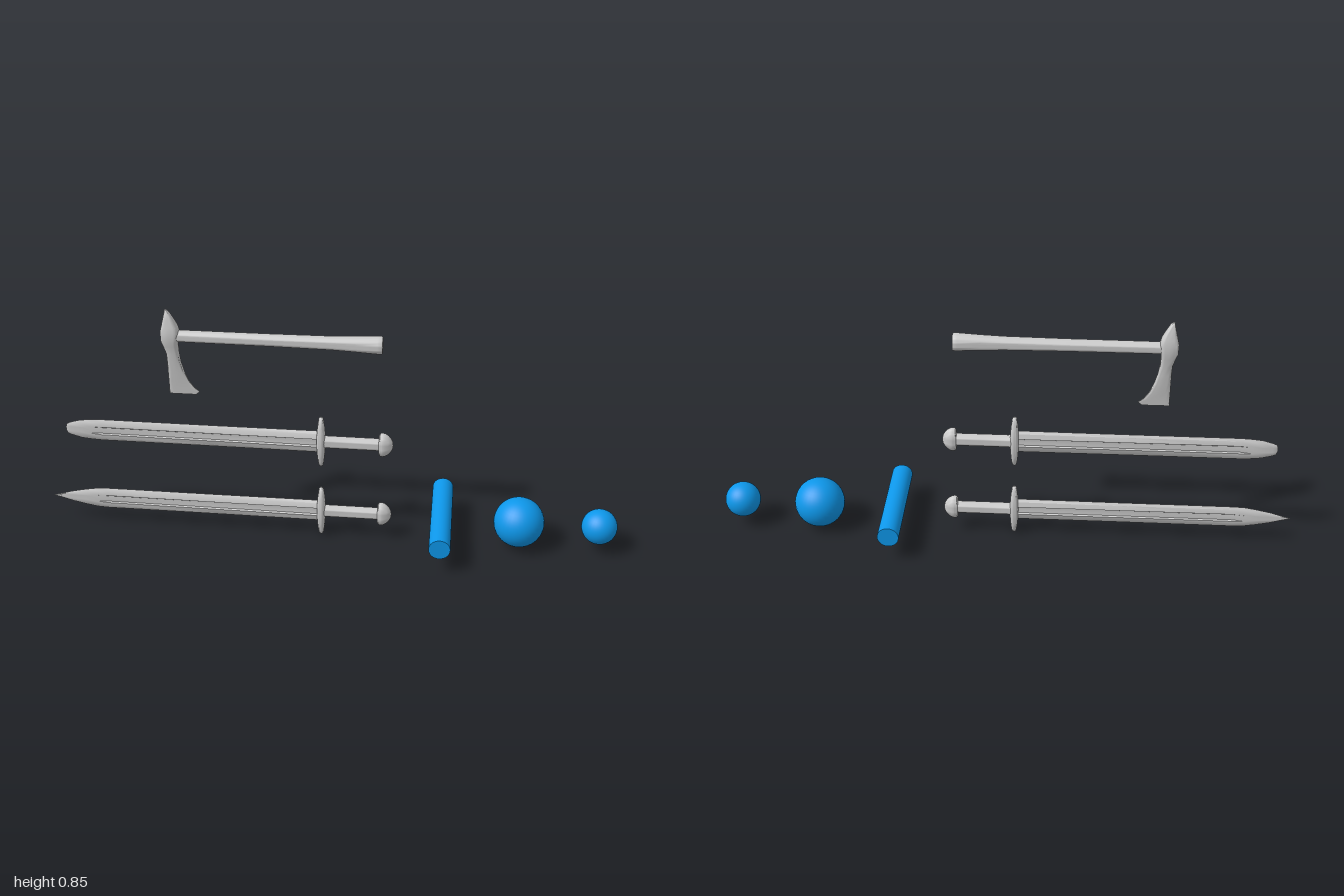
import * as THREE from 'three';
import { toCreasedNormals } from 'three/addons/utils/BufferGeometryUtils.js';

const grey = new THREE.MeshStandardMaterial({ color: 0xcccccc });
const blue = new THREE.MeshStandardMaterial({ color: 0x0d97ea });

function part(name, geometry, material = grey) {
  const mesh = new THREE.Mesh(geometry, material);
  mesh.name = name;
  return mesh;
}

// Skin a list of equal-length rings of [x, y, z] points, with fans closing both ends
function loft(rings, crease = 0.6) {
  const n = rings[0].length;
  const positions = rings.flat(2);
  const index = [];
  for (let i = 0; i < rings.length - 1; i++) {
    for (let j = 0; j < n; j++) {
      const k = (j + 1) % n;
      const a = i * n + j, b = i * n + k, c = a + n, d = b + n;
      index.push(a, b, d, a, d, c);
    }
  }
  [0, rings.length - 1].forEach((i) => {
    const centre = positions.length / 3;
    const sum = rings[i].reduce((s, p) => s.map((v, q) => v + p[q] / n), [0, 0, 0]);
    positions.push(...sum);
    for (let j = 0; j < n; j++) {
      const a = i * n + j, b = i * n + ((j + 1) % n);
      if (i === 0) index.push(centre, b, a);
      else index.push(centre, a, b);
    }
  });
  const g = new THREE.BufferGeometry();
  g.setAttribute('position', new THREE.Float32BufferAttribute(positions, 3));
  g.setIndex(index);
  return toCreasedNormals(g, crease);
}

// Horizontal rounded ring at height y, spanning x0..x1 and +-hz; low power = boxier
function roundedRing(y, x0, x1, hz, power = 0.6, count = 24) {
  const ring = [];
  for (let i = 0; i < count; i++) {
    const a = (i / count) * Math.PI * 2;
    const c = Math.cos(a), s = Math.sin(a);
    const z = hz * Math.sign(c) * Math.abs(c) ** power;
    const x = (x0 + x1) / 2 + ((x1 - x0) / 2) * Math.sign(s) * Math.abs(s) ** power;
    ring.push([x, y, z]);
  }
  return ring;
}

// Turned part lying along x; profile entries are [x, radius]
function turned(profile, zScale = 1) {
  const points = profile.map(([x, r]) => new THREE.Vector2(r, x));
  const g = new THREE.LatheGeometry(points, 32);
  g.rotateZ(-Math.PI / 2);
  g.scale(1, 1, zScale);
  return toCreasedNormals(g, 0.7);
}

// Double-edged blade with a fuller on both faces; stations are [x, half width, half thickness, fuller depth]
function bladeGeometry(stations) {
  return loft(stations.map(([x, w, t, f]) => {
    const half = [[1, 0], [0.78, 0.6], [0.36, 1], [0.27, 1 - f], [0, 1 - f * 1.15],
      [-0.27, 1 - f], [-0.36, 1], [-0.78, 0.6]];
    const front = half.map(([y, z]) => [x, y * w, z * t]);
    const back = half.map(([y, z]) => [x, -y * w, -z * t]);
    return [...front, ...back];
  }), 0.4);
}

function makeSword(name, tip) {
  const sword = new THREE.Group();
  sword.name = name;
  sword.add(part('blade', bladeGeometry([
    ...tip,
    [-0.84, 0.039, 0.0085, 0], [-0.8, 0.041, 0.009, 0.5], [-0.4, 0.041, 0.011, 0.5], [-0.03, 0.042, 0.013, 0.5],
  ])));

  // Crossguard: a lens-shaped bar, thinner toward its ends
  const guard = [];
  for (let i = 0; i <= 20; i++) {
    const a = (i / 20 - 0.5) * Math.PI;
    const t = Math.sin(a), c = Math.max(Math.cos(a), 0.12);
    const hx = (0.007 + 0.008 * c * c) * Math.min(1, c * 3);
    guard.push(roundedRing(t * 0.097, -0.033 - hx, -0.033 + hx, 0.025 * c, 0.7));
  }
  sword.add(part('crossguard', loft(guard)));

  sword.add(part('grip', turned([[-0.03, 0], [-0.03, 0.025], [-0.012, 0.022], [0.08, 0.022], [0.175, 0.022], [0.175, 0]], 0.85)));
  sword.add(part('pommel', turned([
    [0.166, 0], [0.166, 0.036], [0.17, 0.043], [0.178, 0.045], [0.187, 0.043],
    [0.198, 0.036], [0.207, 0.026], [0.213, 0.014], [0.215, 0],
  ], 0.58)));
  return sword;
}

function makeAxe() {
  const axe = new THREE.Group();
  axe.name = 'axe';
  const haft = part('haft', turned([
    [-0.56, 0], [-0.56, 0.02], [-0.2, 0.021], [0, 0.023], [0.08, 0.026],
    [0.155, 0.03], [0.168, 0.03], [0.172, 0.028], [0.172, 0],
  ]));
  haft.position.y = 0.758;
  axe.add(haft);

  // Head sections from cutting edge up to the poll: [y, x0, x1, half thickness]
  const sections = [
    [0.54, -0.55, -0.458, 0.0008], [0.552, -0.55, -0.445, 0.002], [0.565, -0.55, -0.462, 0.003],
    [0.59, -0.55, -0.48, 0.006], [0.625, -0.55, -0.495, 0.01], [0.66, -0.55, -0.505, 0.0135],
    [0.695, -0.551, -0.51, 0.017], [0.725, -0.56, -0.511, 0.021], [0.74, -0.566, -0.509, 0.024],
    [0.775, -0.567, -0.505, 0.025], [0.795, -0.562, -0.51, 0.021], [0.82, -0.556, -0.523, 0.016],
    [0.842, -0.551, -0.535, 0.01], [0.852, -0.549, -0.543, 0.004],
  ];
  axe.add(part('axeHead', loft(sections.map((s) => roundedRing(...s, 0.5)))));
  return axe;
}

export function createModel() {
  const model = new THREE.Group();
  model.name = 'weaponsAndPrimitives';

  // Two swords that differ only in their points
  const pointed = makeSword('pointedSword', [
    [-1, 0.0008, 0.001, 0], [-0.97, 0.009, 0.003, 0], [-0.93, 0.021, 0.005, 0], [-0.88, 0.032, 0.007, 0],
  ]);
  pointed.position.y = 0.098;
  const blunt = makeSword('roundTippedSword', [
    [-0.927, 0.008, 0.0015, 0], [-0.923, 0.019, 0.003, 0], [-0.91, 0.025, 0.005, 0], [-0.875, 0.035, 0.007, 0],
  ]);
  blunt.position.y = 0.38;
  model.add(pointed, blunt, makeAxe());

  // Blue rod and balls
  const rod = part('rod', new THREE.CylinderGeometry(0.037, 0.037, 0.398, 32), blue);
  rod.rotation.x = Math.PI / 2;
  rod.position.set(0.39, 0.098, 0);
  const largeBall = part('largeBall', new THREE.SphereGeometry(0.088, 32, 24), blue);
  largeBall.position.set(0.66, 0.098, 0);
  const smallBall = part('smallBall', new THREE.SphereGeometry(0.062, 32, 24), blue);
  smallBall.position.set(0.937, 0.098, 0);
  model.add(rod, largeBall, smallBall);
  return model;
}
